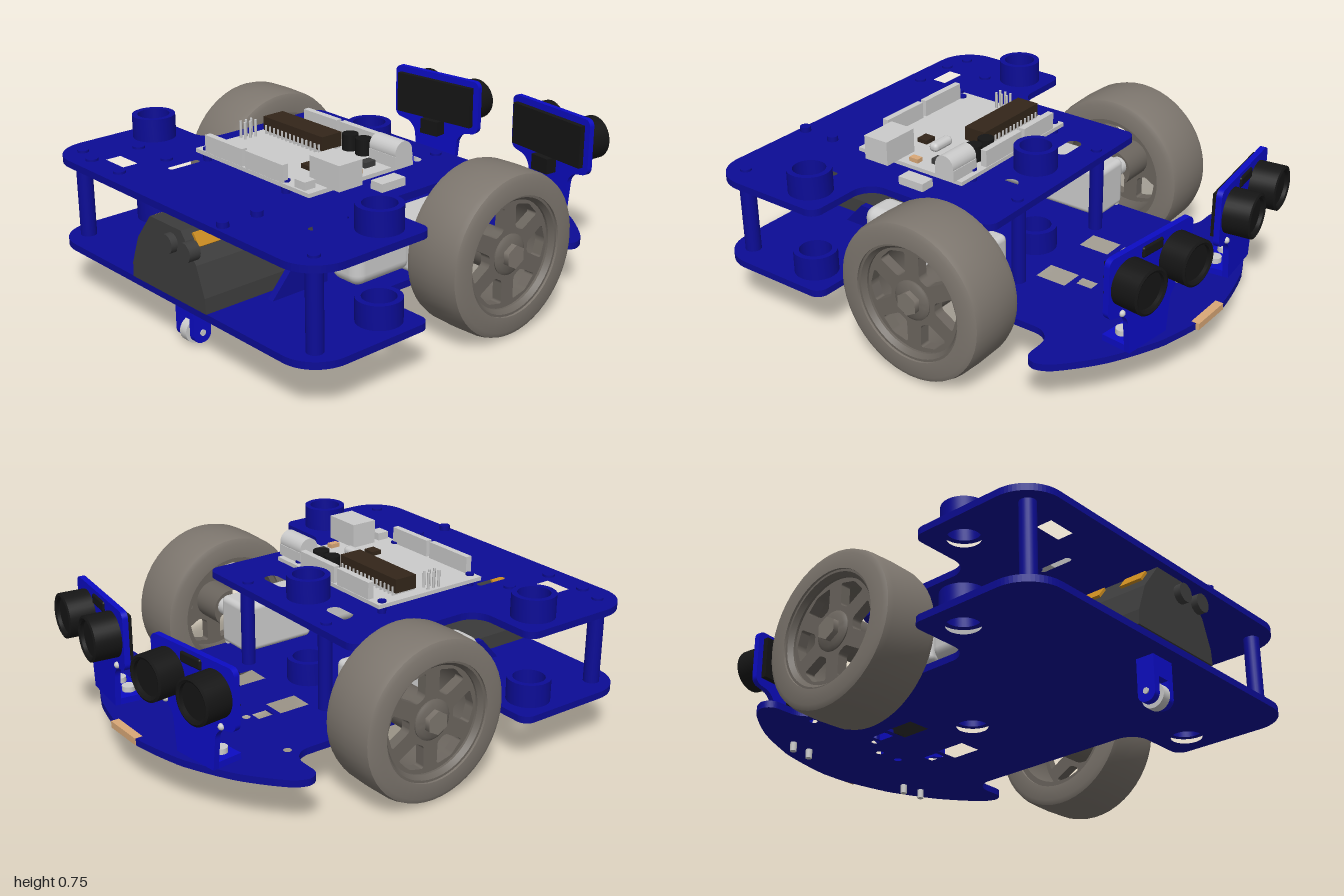
import * as THREE from 'three';
import { toCreasedNormals } from 'three/addons/utils/BufferGeometryUtils.js';
import { RoundedBoxGeometry } from 'three/addons/geometries/RoundedBoxGeometry.js';

const mat = (color, side = THREE.FrontSide) => new THREE.MeshStandardMaterial({ color, side });
const BLUE = mat(0x0c0c96), BRIGHT = mat(0x0c0cc4), GREY = mat(0xcccccc), BLACK = mat(0x151515);
const TYRE = mat(0x7d766e), RIM = mat(0x6b655e), DARK = mat(0x3c3c3c), GOLD = mat(0xc98a1e);
const TAN = mat(0xd9a877), BROWN = mat(0x33261a);

function add(parent, name, geo, material, x = 0, y = 0, z = 0) {
  const m = new THREE.Mesh(geo, material);
  m.name = name;
  m.position.set(x, y, z);
  parent.add(m);
  return m;
}
// Box given by its limits on each axis
const block = (p, name, material, x0, x1, y0, y1, z0, z1) =>
  add(p, name, new THREE.BoxGeometry(x1 - x0, y1 - y0, z1 - z0), material, (x0 + x1) / 2, (y0 + y1) / 2, (z0 + z1) / 2);
const rod = (p, name, material, r, y0, y1, x, z, sides = 24) =>
  add(p, name, new THREE.CylinderGeometry(r, r, y1 - y0, sides), material, x, (y0 + y1) / 2, z);
const lathe = (pts, sides = 48) => toCreasedNormals(
  new THREE.LatheGeometry(pts.map(p => new THREE.Vector2(...p)), sides), 0.6);

// Polygon with rounded corners; each point is [x, y, radius]
function rounded(pts, Type = THREE.Shape) {
  const s = new Type();
  pts.forEach(([x, y, r = 0], i) => {
    const c = new THREE.Vector2(x, y);
    const toward = q => new THREE.Vector2(q[0], q[1]).sub(c).setLength(r).add(c);
    const a = toward(pts[(i + pts.length - 1) % pts.length]), b = toward(pts[(i + 1) % pts.length]);
    if (i) s.lineTo(a.x, a.y); else s.moveTo(a.x, a.y);
    if (r) s.bezierCurveTo(a.x + (x - a.x) * 0.55, a.y + (y - a.y) * 0.55, b.x + (x - b.x) * 0.55, b.y + (y - b.y) * 0.55, b.x, b.y);
  });
  s.closePath();
  return s;
}
const rectHole = (x0, x1, z0, z1, r = 0) => rounded([[x0, -z0, r], [x1, -z0, r], [x1, -z1, r], [x0, -z1, r]], THREE.Path);
const roundHole = (x, z, r) => new THREE.Path().absarc(x, -z, r, 0, Math.PI * 2, true);
const extrude = (shape, depth) => new THREE.ExtrudeGeometry(shape, { depth, bevelEnabled: false, curveSegments: 16 });

// Horizontal plate, symmetric across z, drawn from one half of its outline
function plate(parent, name, half, holes, y) {
  const other = half.map(([x, z, r]) => [x, -z, r]).reverse();
  const shape = rounded([...half, ...other]);
  shape.holes.push(...holes);
  add(parent, name, extrude(shape, 0.03).rotateX(-Math.PI / 2), BLUE, 0, y, 0);
}

function wheel(side) {
  const g = new THREE.Group();
  g.name = 'wheel';
  // Local y is the axle, outer face toward +y
  add(g, 'tyre', lathe([[0.25, -0.135], [0.315, -0.135], [0.335, -0.125], [0.342, -0.1], [0.345, 0], [0.342, 0.1],
    [0.335, 0.125], [0.315, 0.135], [0.25, 0.135], [0.25, -0.135]]), TYRE);
  add(g, 'rim', lathe([[0.225, -0.12], [0.252, -0.12], [0.252, 0.125], [0.24, 0.125], [0.225, 0.105], [0.225, -0.12]]), RIM);
  const disc = new THREE.Shape().absarc(0, 0, 0.23, 0, Math.PI * 2);
  for (let i = 0; i < 6; i++) {
    const polar = (r, a) => [r * Math.cos(a + i * Math.PI / 3), r * Math.sin(a + i * Math.PI / 3), 0.012];
    disc.holes.push(rounded([polar(0.11, -0.2), polar(0.205, -0.36), polar(0.214, 0), polar(0.205, 0.36), polar(0.11, 0.2)], THREE.Path));
  }
  add(g, 'spokes', extrude(disc, 0.045).rotateX(-Math.PI / 2), RIM, 0, 0.05, 0);
  add(g, 'hub', lathe([[0.085, -0.1], [0.085, 0.1], [0.07, 0.11], [0, 0.11]]), RIM);
  add(g, 'hubNut', new THREE.CylinderGeometry(0.05, 0.05, 0.03, 6), TYRE, 0, 0.12, 0);
  add(g, 'axle', new THREE.CylinderGeometry(0.042, 0.042, 0.16, 20), GREY, 0, -0.14, 0);
  g.position.set(0.085, 0.355, side * 0.705);
  g.rotation.x = side * Math.PI / 2;
  return g;
}

function rangeSensor(side) {
  const g = new THREE.Group();
  g.name = 'rangeSensor';
  const half = [[0.245, 0.69, 0.03], [0.245, 0.44, 0.03], [0.13, 0.42, 0.05], [0.11, 0.235, 0]];
  const face = rounded([...half, ...half.map(([x, y, r]) => [-x, y, r]).reverse()]);
  add(g, 'sensorBracket', extrude(face, 0.025).rotateY(Math.PI / 2), BRIGHT);
  block(g, 'sensorFoot', BRIGHT, -0.11, 0, 0.235, 0.262, -0.11, 0.11);
  block(g, 'sensorBoard', BLACK, -0.025, 0, 0.47, 0.66, -0.215, 0.215);
  block(g, 'sensorPlug', BLACK, -0.055, 0, 0.4, 0.47, -0.05, 0.05);
  for (const y of [0.475, 0.65])
    add(g, 'sensorSlot', new RoundedBoxGeometry(0.02, 0.045, 0.12, 3, 0.009), BLACK, 0.024, y, 0);
  for (const z of [-0.138, 0.138]) {
    add(g, 'sensorEye', lathe([[0.095, 0], [0.095, 0.115], [0.085, 0.12], [0.075, 0.115], [0.075, 0.1], [0, 0.1]], 32), BLACK, 0.02, 0.565, z)
      .rotation.z = -Math.PI / 2;
    add(g, 'boardScrew', new THREE.SphereGeometry(0.014, 12, 8), GREY, 0.026, 0.44, z * 1.2);
  }
  for (const z of [-0.05, 0.05]) {
    rod(g, 'footScrew', GREY, 0.015, 0.165, 0.28, -0.06, z, 12);
    rod(g, 'screwHead', GREY, 0.028, 0.262, 0.285, -0.06, z, 16);
  }
  g.position.set(0.845, 0, side * 0.35);
  g.rotation.y = -side * 0.12;
  return g;
}

function controller() {
  const g = new THREE.Group();
  g.name = 'controllerBoard';
  block(g, 'circuitBoard', GREY, -0.565, -0.015, 0.635, 0.652, -0.345, 0.365);
  for (const [x, z] of [[-0.54, -0.3], [-0.05, -0.32], [-0.54, 0.2], [-0.05, 0.25]]) rod(g, 'standoff', BLUE, 0.018, 0.6, 0.66, x, z, 12);
  for (const [x, z0, z1] of [[-0.55, -0.28, -0.04], [-0.55, -0.02, 0.21], [-0.032, -0.27, -0.06], [-0.032, -0.04, 0.2]])
    block(g, 'pinHeader', GREY, x - 0.014, x + 0.014, 0.652, 0.725, z0, z1);
  block(g, 'processor', BROWN, -0.235, -0.13, 0.665, 0.725, -0.31, 0.065);
  for (let i = 0; i < 14; i++)
    block(g, 'processorPins', GREY, -0.24, -0.125, 0.652, 0.69, -0.295 + i * 0.026, -0.287 + i * 0.026);
  block(g, 'dataSocket', GREY, -0.47, -0.35, 0.652, 0.757, 0.26, 0.43);
  block(g, 'powerSocket', GREY, -0.135, -0.04, 0.652, 0.7, 0.235, 0.385);
  add(g, 'powerBarrel', new THREE.CylinderGeometry(0.046, 0.046, 0.15, 24), GREY, -0.088, 0.71, 0.31).rotation.x = Math.PI / 2;
  for (const z of [0.09, 0.17]) rod(g, 'capacitor', BLACK, 0.034, 0.65, 0.72, -0.105, z);
  add(g, 'crystal', new RoundedBoxGeometry(0.045, 0.04, 0.115, 3, 0.018), GREY, -0.285, 0.67, 0.165);
  block(g, 'smallChip', BROWN, -0.4, -0.35, 0.652, 0.67, 0.125, 0.18);
  block(g, 'fuse', TAN, -0.31, -0.265, 0.652, 0.67, 0.31, 0.34);
  block(g, 'regulator', DARK, -0.22, -0.165, 0.652, 0.675, 0.265, 0.305);
  block(g, 'resetButton', GREY, -0.555, -0.5, 0.652, 0.685, 0.27, 0.33);
  for (let i = 0; i < 6; i++)
    rod(g, 'pin', GREY, 0.006, 0.65, 0.725, -0.345 + (i % 3) * 0.028, -0.325 + Math.floor(i / 3) * 0.028, 6);
  return g;
}

export function createModel() {
  const g = new THREE.Group();
  g.name = 'twoWheelRobot';

  // Decks
  const rear = [[-0.965, 0.84, 0.16], [-0.38, 0.84, 0.05], [-0.38, 0.52, 0.09]];
  const collars = [[-0.52, -0.705], [-0.52, 0.705], [0.085, 0]];
  const ports = collars.map(([x, z]) => [x, z, 0.068]);
  const slots = () => [rectHole(0.055, 0.12, -0.305, -0.155, 0.03), rectHole(0.055, 0.12, 0.145, 0.295, 0.03)];
  plate(g, 'topDeck', [...rear, [0.25, 0.52, 0.05]], [...ports.map(p => roundHole(...p)), ...slots(),
    rectHole(-0.845, -0.775, -0.585, -0.46), rectHole(-0.72, -0.53, 0.53, 0.56, 0.014), rectHole(-0.72, -0.57, -0.335, -0.305, 0.014)], 0.575);
  plate(g, 'bottomDeck', [...rear, [0.55, 0.52, 0.09], [0.55, 0.73, 0.06], [0.64, 0.72, 0.04], [0.75, 0.61, 0.1],
    [0.87, 0.42, 0.14], [0.945, 0.2, 0.14], [0.962, 0.05, 0]],
  [...ports.map(p => roundHole(...p)), rectHole(0.24, 0.38, -0.215, -0.11), rectHole(0.24, 0.38, 0.1, 0.205),
    rectHole(0.405, 0.48, -0.205, -0.155), rectHole(0.405, 0.48, 0.11, 0.16),
    ...[[0.54, -0.49], [0.51, -0.16], [0.585, -0.06], [0.585, 0.05]].map(p => roundHole(...p, 0.017))], 0.205);

  // Collars around the cable ports
  for (const [x, z] of collars) for (const y of [0.235, 0.605])
    add(g, 'portCollar', lathe([[0.068, 0], [0.092, 0], [0.092, 0.1], [0.068, 0.1], [0.068, 0]], 40), BLUE, x, y, z);

  // Posts, motors, wheels and sensors on both sides
  for (const s of [1, -1]) {
    rod(g, 'rearPost', BLUE, 0.034, 0.235, 0.575, -0.86, s * 0.735);
    rod(g, 'frontPost', BLUE, 0.03, 0.235, 0.575, 0.205, s * 0.28);
    for (const [x, z] of [[-0.86, 0.735], [0.2, 0.28]]) rod(g, 'postScrew', BLUE, 0.024, 0.6, 0.615, x, s * z, 16);
    add(g, 'gearbox', new RoundedBoxGeometry(0.36, 0.22, 0.19, 3, 0.025), GREY, 0.01, 0.36, s * 0.425);
    add(g, 'motor', new RoundedBoxGeometry(0.31, 0.2, 0.17, 4, 0.05), GREY, -0.29, 0.36, s * 0.415);
    block(g, 'motorBracket', GREY, -0.1, 0.17, 0.235, 0.4, s > 0 ? 0.505 : -0.52, s > 0 ? 0.52 : -0.505);
    const gusset = rounded([[-0.71, 0.235], [-0.43, 0.235], [-0.43, 0.335], [-0.62, 0.335]]);
    add(g, 'gusset', extrude(gusset, 0.03), BLUE, 0, 0, s * 0.3 - 0.015);
    g.add(wheel(s), rangeSensor(s));
  }
  for (const x of [-0.89, -0.66]) for (const z of [-0.62, -0.42]) rod(g, 'deckScrew', BLUE, 0.026, 0.6, 0.615, x, z, 16);
  for (const x of [-0.93, -0.77]) rod(g, 'deckStud', BLUE, 0.024, 0.6, 0.628, x, 0.31, 16);

  // Battery pack with cells showing through the housing
  const half = [[0.24, 0.237], [0.235, 0.3], [0.19, 0.42], [0.1, 0.535]];
  const section = rounded([...half, ...half.map(([z, y]) => [-z, y]).reverse()]);
  add(g, 'batteryHousing', extrude(section, 0.57).rotateY(Math.PI / 2), DARK, -0.97, 0, 0);
  for (const x of [-0.88, -0.68, -0.48]) for (const s of [1, -1]) {
    const cell = block(g, 'batteryCell', GOLD, -0.05, 0.05, -0.03, 0.03, -0.01, 0.01);
    cell.position.set(x, 0.495, s * 0.133);
    cell.rotation.x = -s * 0.66;
  }
  add(g, 'cellEnd', new THREE.TorusGeometry(0.052, 0.02, 8, 24), GOLD, -0.4, 0.46, 0).rotation.y = Math.PI / 2;
  for (const z of [0.04, 0.155])
    add(g, 'batteryConnector', new THREE.CylinderGeometry(0.04, 0.04, 0.05, 20), DARK, -0.975, 0.47, z).rotation.z = Math.PI / 2;

  // Rear caster
  const fork = rounded([[-0.04, 0.205], [-0.04, 0.017, 0.035], [0.04, 0.017, 0.035], [0.04, 0.205]]);
  for (const s of [1, -1]) add(g, 'casterFork', extrude(fork, 0.03), BRIGHT, -0.86, 0, s * 0.045 - 0.015);
  block(g, 'casterBlock', BRIGHT, -0.9, -0.82, 0.12, 0.205, -0.06, 0.06);
  add(g, 'casterWheel', new THREE.CylinderGeometry(0.052, 0.052, 0.04, 28), GREY, -0.86, 0.055, 0).rotation.x = Math.PI / 2;
  add(g, 'casterPin', new THREE.CylinderGeometry(0.013, 0.013, 0.13, 12), GREY, -0.86, 0.06, 0).rotation.x = Math.PI / 2;

  // Front bumper insert, deck switch and controller
  block(g, 'bumperInsert', TAN, 0.93, 0.965, 0.207, 0.236, -0.06, 0.13);
  block(g, 'deckSwitch', GREY, -0.27, -0.145, 0.6, 0.64, 0.39, 0.455);
  g.add(controller());
  return g;
}
